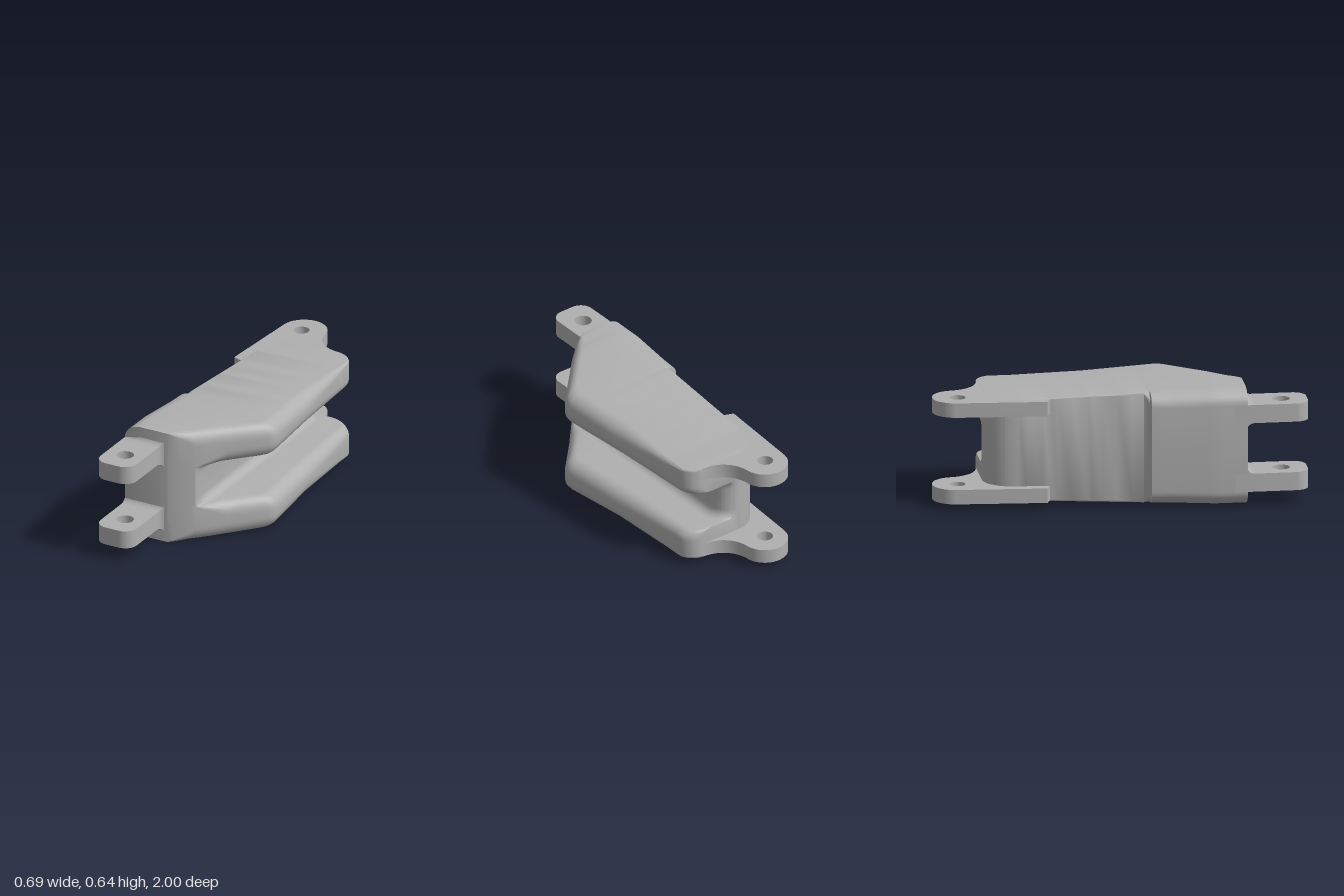
import * as THREE from 'three';
import { toCreasedNormals } from 'three/addons/utils/BufferGeometryUtils.js';

const MID = 0.32; // height of the mirror plane

// Piecewise linear lookup in a list of [z, value]
function at(keys, z) {
  if (z <= keys[0][0]) return keys[0][1];
  for (let i = 1; i < keys.length; i++) {
    const [z0, v0] = keys[i - 1], [z1, v1] = keys[i];
    if (z <= z1) return v0 + (v1 - v0) * (z - z0) / (z1 - z0);
  }
  return keys[keys.length - 1][1];
}

function arc(cx, cy, rx, ry, a0, a1, n = 8) {
  return Array.from({ length: n + 1 }, (_, i) => {
    const a = a0 + (a1 - a0) * i / n;
    return [cx + rx * Math.cos(a), cy + ry * Math.sin(a)];
  });
}

// Closed loft through counter-clockwise [x, y] loops at rising z
function loft(zs, section) {
  const pos = [], idx = [], loops = zs.map(section), n = loops[0].length;
  loops.forEach((loop, i) => loop.forEach(([x, y]) => pos.push(x, y, zs[i])));
  for (let i = 0; i < zs.length - 1; i++) {
    for (let j = 0; j < n; j++) {
      const a = i * n + j, b = i * n + (j + 1) % n;
      idx.push(a, b, b + n, a, b + n, a + n);
    }
  }
  const cap = (loop, base, flip) => {
    const pts = loop.map(([x, y]) => new THREE.Vector2(x, y));
    for (const [a, b, c] of THREE.ShapeUtils.triangulateShape(pts, [])) {
      idx.push(base + a, base + (flip ? c : b), base + (flip ? b : c));
    }
  };
  cap(loops[0], 0, true);
  cap(loops[loops.length - 1], (zs.length - 1) * n, false);
  const g = new THREE.BufferGeometry();
  g.setAttribute('position', new THREE.Float32BufferAttribute(pos, 3));
  g.setIndex(idx);
  return toCreasedNormals(g, 0.6);
}

// Quarter-round keys: value runs from v0 at z0 (blunt end) to v1 at z1
function quarter(z0, z1, v0, v1) {
  return Array.from({ length: 9 }, (_, i) => {
    const a = i / 8 * Math.PI / 2;
    return [z0 + (z1 - z0) * (1 - Math.cos(a)), v0 + (v1 - v0) * Math.sin(a)];
  });
}

const PI = Math.PI;
const END = -0.725;

// Outline of the channel along its length
const outer = [...quarter(END, -0.55, -0.07, -0.22), [-0.37, -0.23], [0.12, -0.258],
  [0.15, -0.29], [0.156, -0.322], [0.5, -0.349], [0.668, -0.35]];
const tip = [...quarter(END, -0.625, 0.18, 0.28), [0.235, 0.344], [0.27, 0.338], [0.3, 0.315],
  [0.56, 0.07], [0.59, 0.038], [0.61, 0.012], [0.635, -0.025], [0.655, -0.06], [0.668, -0.09]];
const webFace = [...quarter(END, -0.615, -0.06, 0.04), [0.668, 0.04]];
const topY = [[END, 0.6], [-0.55, 0.6], [0.5, 0.64]];
const outerRound = [[0.12, 0.012], [0.156, 0.085], [0.25, 0.095]];
const tipRound = [[-0.65, 0.012], [-0.15, 0.08]];

function channelSection(z) {
  const xL = at(outer, z), xR = at(tip, z), yT = at(topY, z);
  const xw = Math.min(at(webFace, z), xR);
  const reach = xR - xw, yIn = 0.435;
  const f = Math.min(0.05, reach * 0.4);
  const rIn = Math.min(0.08, reach * 0.6, 0.05 + at(tipRound, z) * 0.4);
  const rOut = Math.max(0, Math.min(at(tipRound, z), (xR + 0.09) * 0.6));
  const rL = at(outerRound, z);
  const half = [
    ...arc(xw + f, yIn - 0.05, f, 0.05, PI, PI / 2),
    ...arc(xR - rIn, yIn + rIn, rIn, rIn, -PI / 2, 0),
    ...arc(xR - rOut, yT - rOut, rOut, rOut, 0, PI / 2),
    ...arc(xL + rL, yT - rL * 0.85, rL, rL * 0.85, PI / 2, PI),
  ];
  return [...half, ...half.map(([x, y]) => [x, 2 * MID - y]).reverse()];
}

// Flat lug from a plan in (x, z), with its upper face at y = top
function plate(shape, top, depth) {
  const g = new THREE.ExtrudeGeometry(shape, { depth, bevelEnabled: false, curveSegments: 16 });
  g.rotateX(PI / 2);
  g.translate(0, top, 0);
  return toCreasedNormals(g, 0.6);
}

function drill(shape, x, z, r) {
  shape.holes.push(new THREE.Path().absarc(x, z, r, 0, PI * 2, true));
}

function frontLugPlan() {
  const s = new THREE.Shape();
  s.moveTo(-0.35, 0.6);
  s.lineTo(-0.13, 0.6);
  s.lineTo(-0.13, 0.93);
  s.absarc(-0.2, 0.93, 0.07, 0, PI / 2, false);
  s.absarc(-0.28, 0.93, 0.07, PI / 2, PI, false);
  s.closePath();
  drill(s, -0.24, 0.86, 0.047);
  return s;
}

function rearLugPlan() {
  const s = new THREE.Shape();
  s.moveTo(-0.2, -0.37);
  s.lineTo(-0.28, -0.4);
  s.lineTo(-0.245, -0.89);
  s.absarc(-0.12, -0.875, 0.125, PI, PI * 2, false);
  s.bezierCurveTo(0.02, -0.79, 0.08, -0.73, 0.18, -0.725);
  s.lineTo(0.2, -0.6);
  s.lineTo(0, -0.4);
  s.closePath();
  drill(s, -0.13, -0.865, 0.043);
  return s;
}

// Flared root where a front lug meets the body
function lugRoot(lower) {
  const zs = [0.66, 0.668, 0.675, 0.684, 0.695, 0.705];
  return loft(zs, (z) => {
    const t = Math.min(1, Math.max(0, (z - 0.665) / 0.04));
    const e = 0.032 * (1 - Math.sqrt(1 - (1 - t) ** 2));
    const loop = [[-0.35, 0.46 - e], [-0.13 + e, 0.46 - e], [-0.13 + e, 0.56 + e],
      [-0.25, 0.56 + e], [-0.35, 0.56]];
    return lower ? loop.map(([x, y]) => [x, 2 * MID - y]).reverse() : loop;
  });
}

export function createModel() {
  const group = new THREE.Group();
  const metal = new THREE.MeshStandardMaterial({ color: 0xb0b0b0 });
  metal.name = 'grey metal';
  const add = (name, geometry) => {
    const mesh = new THREE.Mesh(geometry, metal);
    mesh.name = name;
    group.add(mesh);
  };

  // Channel body: web with two rounded flanges
  const zs = [...outer, ...tip, ...webFace, ...topY, ...outerRound, ...tipRound].map((k) => k[0]);
  for (let z = -0.5; z < 0.56; z += 0.08) zs.push(z);
  zs.sort((a, b) => a - b);
  const stations = zs.filter((z, i) => i === 0 || z - zs[i - 1] > 1e-4);
  add('channelBody', loft(stations, channelSection));

  // Drilled lugs, upper and lower
  for (const lower of [false, true]) {
    const side = lower ? 'lower' : 'upper';
    add(side + 'FrontLug', plate(frontLugPlan(), lower ? 0.18 : 0.56, 0.1));
    add(side + 'FrontLugRoot', lugRoot(lower));
    add(side + 'RearLug', plate(rearLugPlan(), lower ? 0.12 : 0.6, 0.08));
  }
  return group;
}
